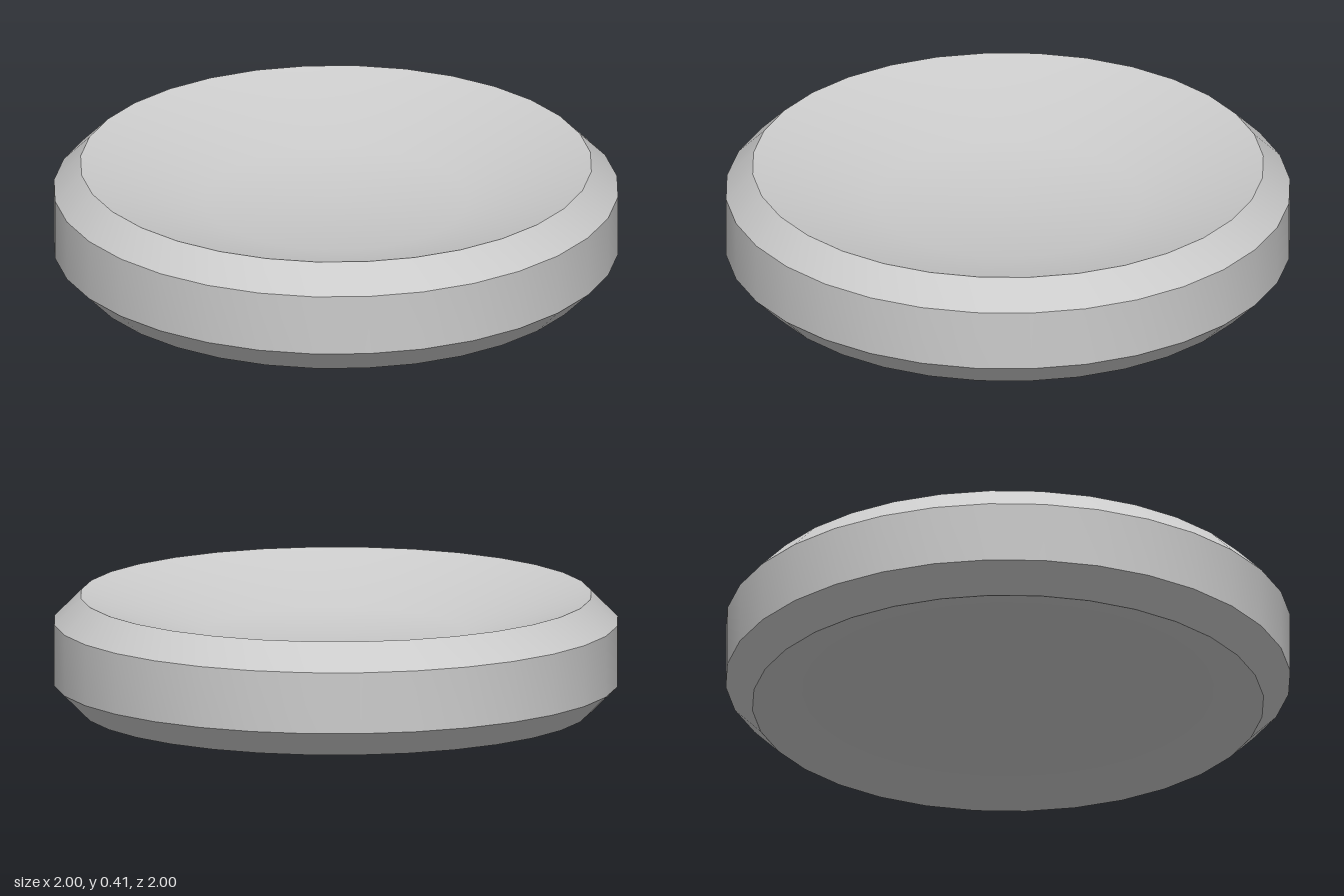
import * as THREE from 'three';
import { toCreasedNormals } from 'three/addons/utils/BufferGeometryUtils.js';

const SIDES = 32;
const HEIGHT = 0.41;

export function createModel() {
  const group = new THREE.Group();
  group.name = 'dishedDisc';

  // Lower half of the profile: flat floor, sloped dish, chamfer, wall
  const lower = [[0, 0.137], [0.47, 0.137], [0.91, 0], [1.005, 0.095]];
  // Upper half mirrors the lower one
  const upper = lower.map(([r, y]) => [r, HEIGHT - y]).reverse();
  const profile = [...lower, ...upper].map(([r, y]) => new THREE.Vector2(r, y));

  // Turned half a step so that flat sides face the axes
  const lathe = new THREE.LatheGeometry(profile, SIDES, Math.PI / SIDES);
  const disc = new THREE.Mesh(
    toCreasedNormals(lathe, Math.PI / 6),
    new THREE.MeshStandardMaterial({ color: 0xcccccc })
  );
  disc.name = 'disc';
  group.add(disc);
  return group;
}
